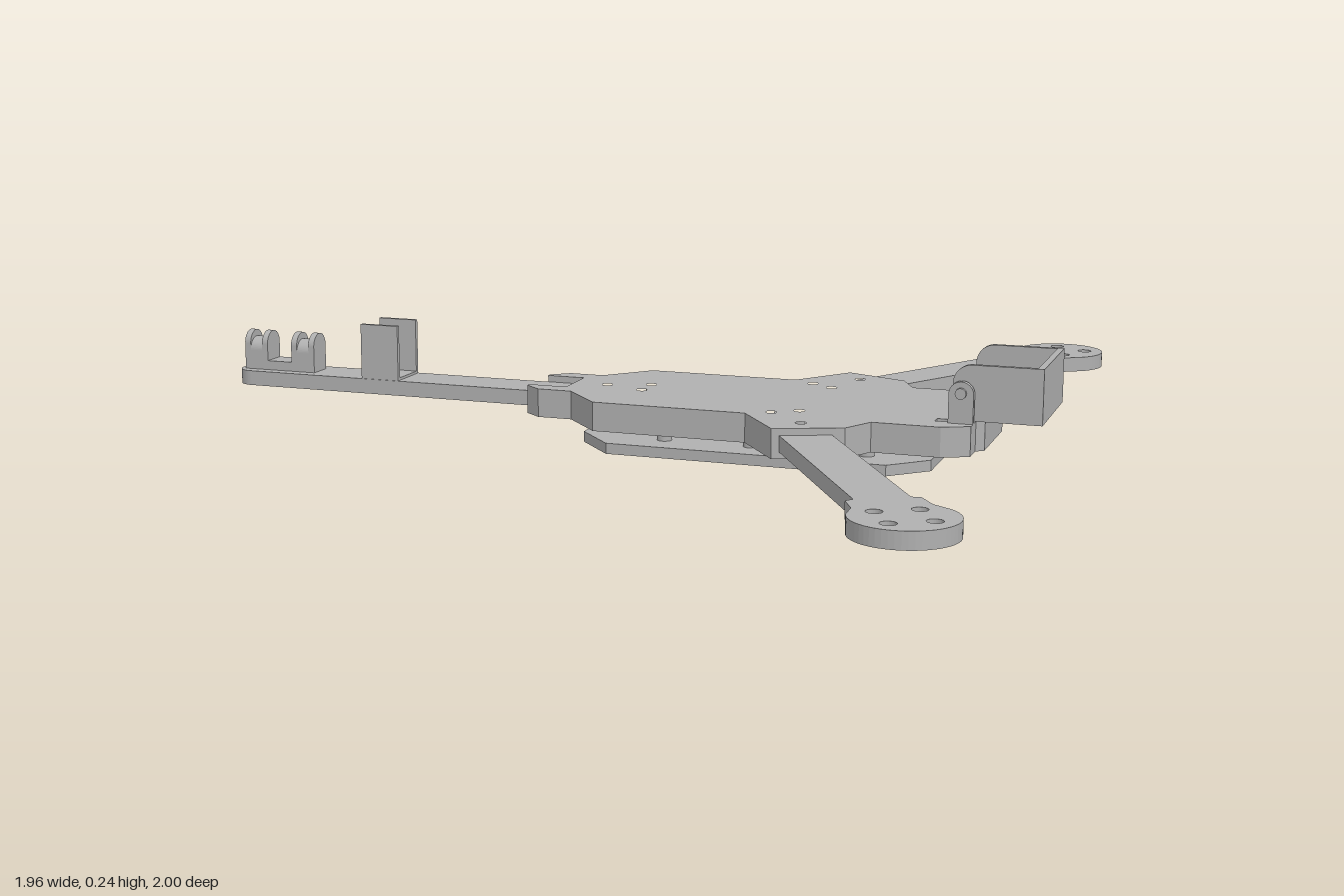
import * as THREE from 'three';

const grey = new THREE.MeshStandardMaterial({ color: 0xb0b0b0 });
grey.name = 'matte grey';

const shapeOf = (pts) => new THREE.Shape(pts.map(([x, y]) => new THREE.Vector2(x, y)));

function addHole(shape, x, y, r) {
  const hole = new THREE.Path();
  hole.absarc(x, y, r, 0, Math.PI * 2, true);
  shape.holes.push(hole);
}

function extrude(shape, depth) {
  return new THREE.ExtrudeGeometry(shape, { depth, bevelEnabled: false, curveSegments: 16 });
}

// Horizontal plate between two heights; the shape's y axis becomes -z
function plate(shape, y0, y1) {
  return extrude(shape, y1 - y0).rotateX(-Math.PI / 2).translate(0, y0, 0);
}

function add(parent, name, geometry) {
  const mesh = new THREE.Mesh(geometry, grey);
  mesh.name = name;
  parent.add(mesh);
  return mesh;
}

// Box given by its limits
function addBox(parent, name, [x0, x1], [y0, y1], [z0, z1]) {
  const g = new THREE.BoxGeometry(x1 - x0, y1 - y0, z1 - z0);
  return add(parent, name, g.translate((x0 + x1) / 2, (y0 + y1) / 2, (z0 + z1) / 2));
}

// Closed outline mirrored across the length axis
const mirrored = (half) => shapeOf([...half, ...half.map(([x, y]) => [x, -y]).reverse()]);

export function createModel() {
  const model = new THREE.Group();
  model.name = 'tricopterFrame';
  const centre = new THREE.Group();
  centre.name = 'centreLine';
  centre.position.z = -0.004;
  model.add(centre);

  // Main body with tail notch and shoulders for the arms
  const body = mirrored([
    [-0.12, 0.058], [-0.21, 0.058], [-0.21, 0.07], [-0.17, 0.103], [-0.09, 0.103], [0, 0.203],
    [0.35, 0.203], [0.447, 0.336], [0.59, 0.278], [0.627, 0.203], [0.775, 0.203],
    [0.833, 0.175], [0.833, 0.12], [0.85, 0.105],
  ]);
  addHole(body, -0.04, 0, 0.012);
  for (const s of [1, -1]) {
    for (const [x, y] of [[0.055, 0.033], [0.4, 0.173], [0.453, 0.138], [0.49, 0.26]]) {
      addHole(body, x, s * y, 0.012);
    }
    const slot = [[0.75, 0.118], [0.75, 0.143], [0.776, 0.143], [0.776, 0.118]];
    body.holes.push(new THREE.Path(slot.map(([x, y]) => new THREE.Vector2(x, s * y))));
  }
  add(centre, 'body', plate(body, 0.05, 0.115));
  addBox(centre, 'noseTab', [0.775, 0.851], [0.1, 0.12], [-0.048, 0.048]);

  // Battery plate hung below on standoffs
  const tray = mirrored([[-0.06, 0.1], [0.03, 0.2], [0.66, 0.2], [0.74, 0.12]]);
  add(centre, 'batteryPlate', plate(tray, 0, 0.024));
  for (const x of [0.14, 0.34, 0.6]) {
    for (const s of [1, -1]) {
      const post = new THREE.CylinderGeometry(0.017, 0.017, 0.03, 16);
      add(centre, 'standoff', post.translate(x, 0.038, s * 0.122));
    }
  }

  // Front arms, drawn with the motor centre at the origin
  const arm = shapeOf([
    [-0.7, -0.055], [-0.136, -0.055], [-0.128, -0.073], [-0.075, -0.077], [-0.03, -0.1],
  ]);
  arm.absarc(0, 0, 0.104, -1.86, 1.86, false);
  for (const [x, y] of [[-0.03, 0.1], [-0.075, 0.077], [-0.128, 0.073], [-0.136, 0.055], [-0.7, 0.055]]) {
    arm.lineTo(x, y);
  }
  for (const a of [1, -1]) {
    for (const b of [1, -1]) addHole(arm, a * 0.043, b * 0.043, 0.016);
  }
  for (const s of [1, -1]) {
    const mesh = add(model, s > 0 ? 'leftArm' : 'rightArm', plate(arm, 0.065, 0.1));
    mesh.position.set(0.855, 0, s * 0.896);
    mesh.rotation.y = -s * Math.PI / 3;
  }

  // Tail arm with a rounded end
  const tail = new THREE.Shape();
  tail.moveTo(-0.1, -0.057);
  tail.lineTo(-0.1, 0.057);
  tail.lineTo(-0.935, 0.057);
  tail.absarc(-0.935, 0.012, 0.045, Math.PI / 2, Math.PI, false);
  tail.absarc(-0.935, -0.012, 0.045, Math.PI, Math.PI * 1.5, false);
  add(centre, 'tailArm', plate(tail, 0.065, 0.1));

  // Upright U bracket on the tail
  addBox(centre, 'tailBracketBase', [-0.64, -0.545], [0.1, 0.106], [-0.054, 0.054]);
  for (const s of [1, -1]) {
    addBox(centre, 'tailBracketSide', [-0.64, -0.545], [0.1, 0.23], [s * 0.05 - 0.005, s * 0.05 + 0.005]);
  }

  // Tail hinge: arched lugs in pairs on a shared base
  const arch = (top, r) => {
    const s = new THREE.Shape();
    s.moveTo(-r, 0.1);
    s.lineTo(r, 0.1);
    s.absarc(0, top - r, r, 0, Math.PI, false);
    return s;
  };
  addBox(centre, 'hingeBase', [-0.91, -0.835], [0.1, 0.122], [-0.03, 0.03]);
  for (const x of [-0.965, -0.84]) {
    for (const [dx, w, top] of [[0, 0.015, 0.192], [0.015, 0.031, 0.176], [0.046, 0.015, 0.192]]) {
      const g = extrude(arch(top, 0.03), w).rotateY(Math.PI / 2);
      add(centre, 'hingeLug', g.translate(x + dx, 0, 0));
    }
  }

  // Camera cradle: two side plates joined by a front plate
  const side = new THREE.Shape();
  side.moveTo(0.975, 0.118);
  side.lineTo(0.975, 0.238);
  side.lineTo(0.825, 0.238);
  side.absarc(0.825, 0.198, 0.04, Math.PI / 2, Math.PI, false);
  side.lineTo(0.785, 0.165);
  side.absarc(0.81, 0.165, 0.025, Math.PI, Math.PI * 1.5, false);
  side.lineTo(0.83, 0.118);
  addBox(centre, 'cradleFront', [0.961, 0.975], [0.118, 0.238], [-0.136, 0.136]);

  // Pivot ear standing on the body
  const ear = new THREE.Shape();
  ear.moveTo(0.78, 0.1);
  ear.lineTo(0.833, 0.1);
  ear.lineTo(0.833, 0.178);
  ear.absarc(0.8065, 0.178, 0.0265, 0, Math.PI, false);
  for (const s of [1, -1]) {
    add(centre, 'cradleSide', extrude(side, 0.012).translate(0, 0, s * 0.13 - 0.006));
    add(centre, 'pivotEar', extrude(ear, 0.014).translate(0, 0, s * 0.149 - 0.007));
    const pin = new THREE.CylinderGeometry(0.012, 0.012, 0.04, 16).rotateX(Math.PI / 2);
    add(centre, 'pivotPin', pin.translate(0.8065, 0.18, s * 0.144));
  }
  return model;
}
